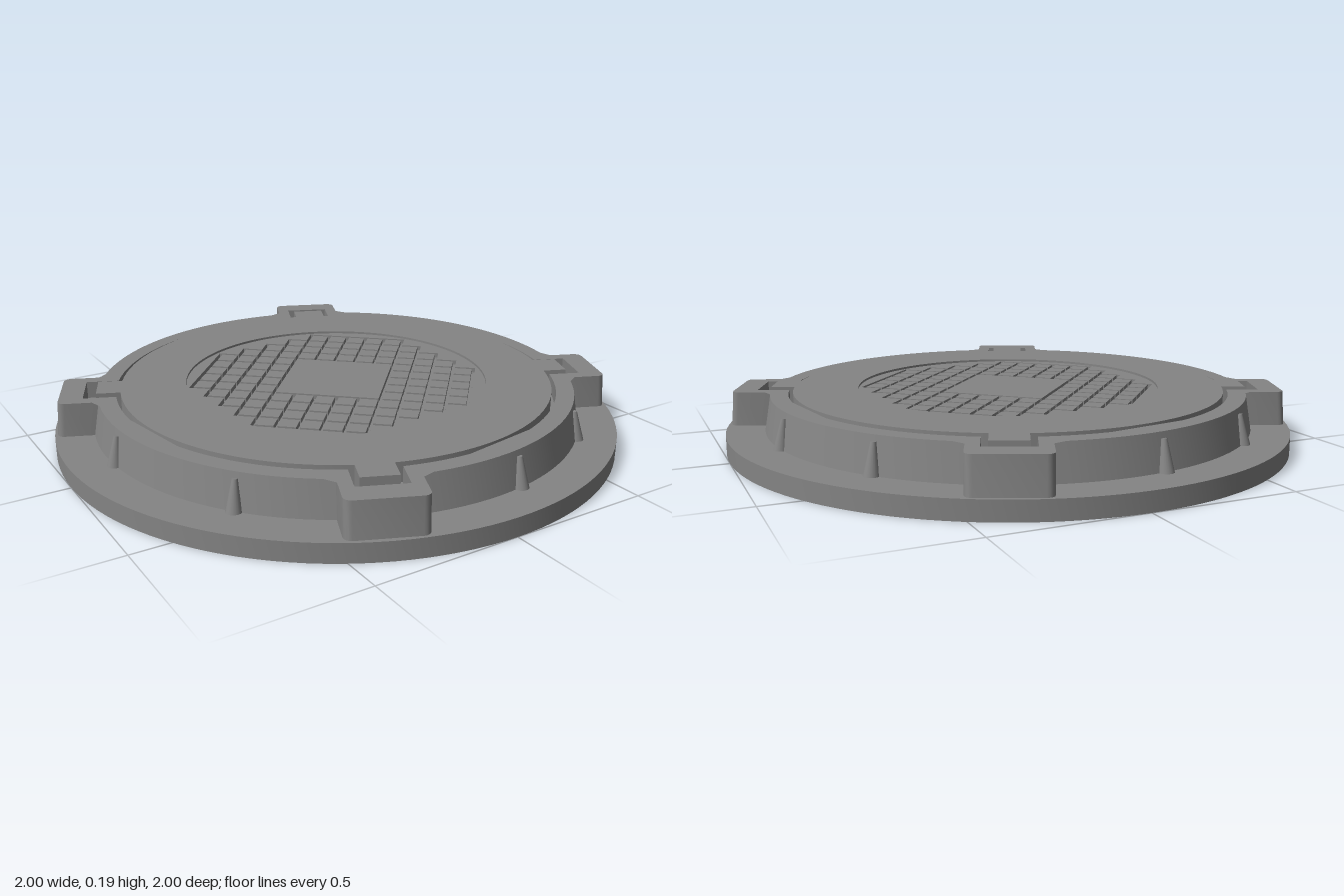
import * as THREE from 'three';
import { toCreasedNormals } from 'three/addons/utils/BufferGeometryUtils.js';

const LUG_ANGLE = -0.408;
const material = new THREE.MeshStandardMaterial({ color: 0x848484 });

function add(parent, name, geometry) {
  const mesh = new THREE.Mesh(geometry, material);
  mesh.name = name;
  parent.add(mesh);
  return mesh;
}

function addGroup(parent, name) {
  const group = new THREE.Group();
  group.name = name;
  parent.add(group);
  return group;
}

// Circle of radius r with four square tabs reaching out to reach; c rounds their corners
function tabbedOutline(r, reach, halfWidth, c = 0) {
  const points = [];
  const half = Math.asin(halfWidth / r);
  const steps = 24;
  for (let k = 0; k < 4; k++) {
    const a = LUG_ANGLE + k * Math.PI / 2;
    const local = (u, v) => points.push(new THREE.Vector2(
      u * Math.cos(a) - v * Math.sin(a), u * Math.sin(a) + v * Math.cos(a)));
    for (const s of [-1, 1]) {
      if (!c) { local(reach, s * halfWidth); continue; }
      for (let i = 0; i <= 4; i++) {
        const t = (s < 0 ? i : 4 - i) * Math.PI / 8;
        local(reach - c + c * Math.sin(t), s * (halfWidth - c + c * Math.cos(t)));
      }
    }
    for (let i = 0; i <= steps; i++) {
      const t = half + (Math.PI / 2 - 2 * half) * i / steps;
      local(r * Math.cos(t), r * Math.sin(t));
    }
  }
  return points;
}

// Upright plate with one hole between heights y0 and y1
function plate(outline, hole, y0, y1) {
  const shape = new THREE.Shape(outline);
  shape.holes.push(hole);
  const geometry = new THREE.ExtrudeGeometry(shape, { depth: y1 - y0, bevelEnabled: false, curveSegments: 48 });
  return toCreasedNormals(geometry.rotateX(-Math.PI / 2).translate(0, y0, 0), 0.5);
}

// Draws the outer wall in towards the top, leaving the key slots upright
function taper(geometry) {
  const p = geometry.attributes.position;
  for (let i = 0; i < p.count; i++) {
    const x = p.getX(i), z = p.getZ(i), r = Math.hypot(x, z);
    if (p.getY(i) < 0.1 || r < 0.82) continue;
    const a = Math.atan2(-z, x);
    const axis = LUG_ANGLE + Math.round((a - LUG_ANGLE) / (Math.PI / 2)) * Math.PI / 2;
    const u = r * Math.cos(a - axis), v = Math.abs(r * Math.sin(a - axis));
    if (v < 0.1 && u < 0.92) continue;
    const direction = v < 0.127 ? axis : a;
    const shift = r > 0.88 ? 0.01 : 0.022;
    p.setX(i, x - shift * Math.cos(direction));
    p.setZ(i, z + shift * Math.sin(direction));
  }
  return toCreasedNormals(geometry, 0.5);
}

export function createModel() {
  const model = new THREE.Group();
  model.name = 'manholeCover';

  // Flat flange with the shaft opening
  const flange = [[0.69, 0], [1, 0], [1, 0.065], [0.69, 0.065], [0.69, 0]].map(([x, y]) => new THREE.Vector2(x, y));
  add(model, 'baseFlange', toCreasedNormals(new THREE.LatheGeometry(flange, 128), 0.5));

  // Raised seat with four lugs and key slots, and the shelf under the lid edge
  const slots = new THREE.Path(tabbedOutline(0.784, 0.893, 0.082));
  add(model, 'seatRing', taper(plate(tabbedOutline(0.868, 0.985, 0.126, 0.025), slots, 0.06, 0.185)));
  const shelfHole = new THREE.Path(tabbedOutline(0.762, 0.842, 0.054));
  add(model, 'seatShelf', plate(tabbedOutline(0.8, 0.9, 0.09), shelfHole, 0.06, 0.125));

  // Tapered ribs leaning on the seat between the lugs
  const ribs = addGroup(model, 'ribs');
  for (const degrees of [-129, -99, -39, -9, 51, 81, 142, 177]) {
    const pivot = addGroup(ribs, 'ribMount');
    pivot.rotation.y = -THREE.MathUtils.degToRad(degrees);
    const rib = add(pivot, 'rib', new THREE.CylinderGeometry(0.009, 0.027, 0.105, 20));
    rib.position.set(0.859, 0.113, 0);
    rib.rotation.z = 0.12;
  }

  // Lid with four keys, a rim below its edge and a round recess
  const lid = addGroup(model, 'lid');
  const lidOutline = tabbedOutline(0.768, 0.85, 0.06);
  const recess = new THREE.Path().absarc(0, 0, 0.54, 0, Math.PI * 2, true);
  add(lid, 'lidPlate', plate(lidOutline, recess, 0.168, 0.192));
  const rimHole = new THREE.Path(tabbedOutline(0.758, 0.84, 0.052));
  add(lid, 'lidRim', plate(lidOutline, rimHole, 0.12, 0.17));

  // Tread: square pads parted by narrow grooves, around one large plain pad
  const tread = addGroup(lid, 'tread');
  tread.rotation.y = -THREE.MathUtils.degToRad(42);
  const pitch = 0.075, groove = 0.013, bottom = 0.166, top = 0.184;
  const addPad = (name, size, x, z) =>
    add(tread, name, new THREE.BoxGeometry(size, top - bottom, size)).position.set(x, (top + bottom) / 2, z);

  // Panel around the pads, with a stepped opening
  const steps = [];
  for (let k = 0; k < 4; k++) {
    const corner = (i, j) => steps.push(new THREE.Vector2(i * pitch + groove / 2, j * pitch + groove / 2)
      .rotateAround(new THREE.Vector2(), k * Math.PI / 2));
    for (let i = 0; i < 5; i++) {
      corner(6.5 - i, 2.5 + i);
      if (i < 4) corner(5.5 - i, 2.5 + i);
    }
  }
  const disc = new THREE.Path().absarc(0, 0, 0.541, 0, Math.PI * 2).getSpacedPoints(96).slice(0, -1);
  add(tread, 'recessPanel', plate(disc, new THREE.Path(steps), bottom, top));

  addPad('centrePad', 5 * pitch - groove, 0, 0);
  for (let i = -6; i <= 6; i++) {
    for (let j = -6; j <= 6; j++) {
      const a = Math.abs(i), b = Math.abs(j);
      if (Math.max(a, b) > 2 && a + b <= 8) addPad('treadPad', pitch - groove, i * pitch, j * pitch);
    }
  }

  // Groove floors, showing as bars below the lid
  for (let line = -6.5; line <= 6.5; line++) {
    const reach = Math.min(6.5, 9 - Math.abs(line));
    const spans = Math.abs(line) < 2 ? [[-reach, -2.5], [2.5, reach]] : [[-reach, reach]];
    for (const [from, to] of spans) {
      const mid = (from + to) / 2 * pitch, length = (to - from) * pitch + 2 * groove, width = groove + 0.007;
      add(tread, 'grooveFloor', new THREE.BoxGeometry(length, 0.012, width)).position.set(mid, 0.161, line * pitch);
      add(tread, 'grooveFloor', new THREE.BoxGeometry(width, 0.0116, length)).position.set(line * pitch, 0.161, mid);
    }
  }
  return model;
}
